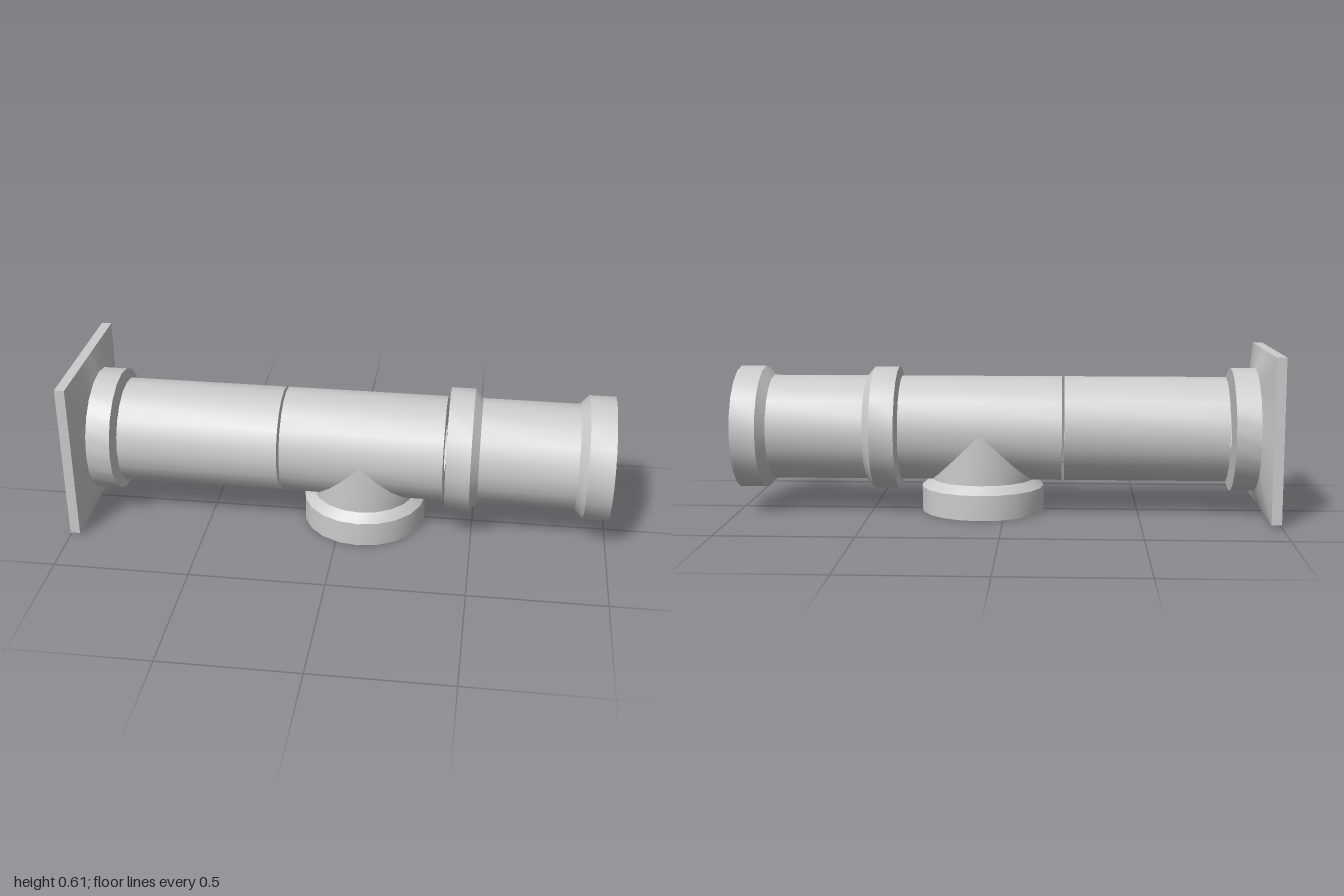
import * as THREE from 'three';
import { mergeGeometries, toCreasedNormals } from 'three/addons/utils/BufferGeometryUtils.js';

const SIDES = 20;
const AXIS_Y = 0.311;   // height of the main pipe's axis
const PIPE = 0.197;     // pipe radius
const SOCKET = 0.231;   // radius of the wider sockets
const HOLE = 0.0875;    // radius of the hole in each end wall
const BRANCH_X = 0.085; // position of the branch along the pipe

const material = new THREE.MeshStandardMaterial({ color: 0xcccccc, side: THREE.DoubleSide });

// Closed ring of n points given by a function of the angle
function ring(n, pointAt) {
  return Array.from({ length: n }, (_, i) => pointAt((i / n) * Math.PI * 2));
}

// Circle around the main axis; x may depend on the angle
const pipeRing = (x, r) => ring(SIDES, (a) => [
  typeof x === 'function' ? x(a) : x, AXIS_Y + r * Math.cos(a), r * Math.sin(a)]);

// Circle around the vertical branch axis; y may depend on the angle
const branchRing = (y, r) => ring(SIDES, (a) => [
  BRANCH_X + r * Math.sin(a), typeof y === 'function' ? y(a) : y, r * Math.cos(a)]);

// Thin shell through successive rings
function loft(rings) {
  const n = rings[0].length;
  const index = [];
  for (let k = 0; k + 1 < rings.length; k++) {
    for (let i = 0; i < n; i++) {
      const j = (i + 1) % n;
      const a = k * n + i, b = k * n + j, c = b + n, d = a + n;
      index.push(a, b, c, a, c, d);
    }
  }
  const geometry = new THREE.BufferGeometry();
  geometry.setAttribute('position', new THREE.Float32BufferAttribute(rings.flat(2), 3));
  geometry.setIndex(index);
  return geometry;
}

function part(name, ...geometries) {
  const mesh = new THREE.Mesh(toCreasedNormals(mergeGeometries(geometries), 0.45), material);
  mesh.name = name;
  return mesh;
}

export function createModel() {
  const group = new THREE.Group();
  group.name = 'pipeAssembly';

  // Wall flange: open square rim narrowing into a round socket
  const squareRing = (x) => ring(SIDES * 2, (a) => {
    const c = Math.cos(a), s = Math.sin(a);
    const r = 0.3 / Math.max(Math.abs(c), Math.abs(s));
    return [x, AXIS_Y + r * c, r * s];
  });
  // Twice the points, with every second one on the middle of a polygon side
  const fineRing = (x, radius) => ring(SIDES * 2, (a) => {
    const odd = Math.round((a * SIDES) / Math.PI) % 2;
    const r = odd ? radius * Math.cos(Math.PI / SIDES) : radius;
    return [x, AXIS_Y + r * Math.cos(a), r * Math.sin(a)];
  });
  group.add(part('wallFlange', loft([
    squareRing(-1), squareRing(-0.963), fineRing(-0.932, SOCKET),
    fineRing(-0.842, SOCKET), fineRing(-0.842, HOLE),
  ])));

  // Straight pipe with holed end walls
  group.add(part('straightPipe', loft([
    pipeRing(-0.824, HOLE), pipeRing(-0.824, PIPE),
    pipeRing(-0.223, PIPE), pipeRing(-0.223, HOLE),
  ])));

  // Tee: two pipe halves mitred against a branch of equal radius
  const drop = (a) => Math.max(0, -PIPE * Math.cos(a));
  group.add(part('teePipe',
    loft([pipeRing(-0.214, HOLE), pipeRing(-0.214, PIPE), pipeRing((a) => BRANCH_X - drop(a), PIPE)]),
    loft([pipeRing((a) => BRANCH_X + drop(a), PIPE), pipeRing(0.388, PIPE), pipeRing(0.388, HOLE)]),
  ));
  group.add(part('teeBranch', loft([
    branchRing(0, HOLE), branchRing(0, SOCKET), branchRing(0.093, SOCKET),
    branchRing(0.123, PIPE),
    branchRing((a) => AXIS_Y - PIPE * Math.abs(Math.sin(a)), PIPE),
  ])));

  // Coupling with a socket at both ends
  group.add(part('socketCoupling', loft([
    pipeRing(0.399, HOLE), pipeRing(0.399, SOCKET), pipeRing(0.489, SOCKET),
    pipeRing(0.518, PIPE), pipeRing(0.875, PIPE),
    pipeRing(0.906, SOCKET), pipeRing(1, SOCKET), pipeRing(1, HOLE),
  ])));

  return group;
}
